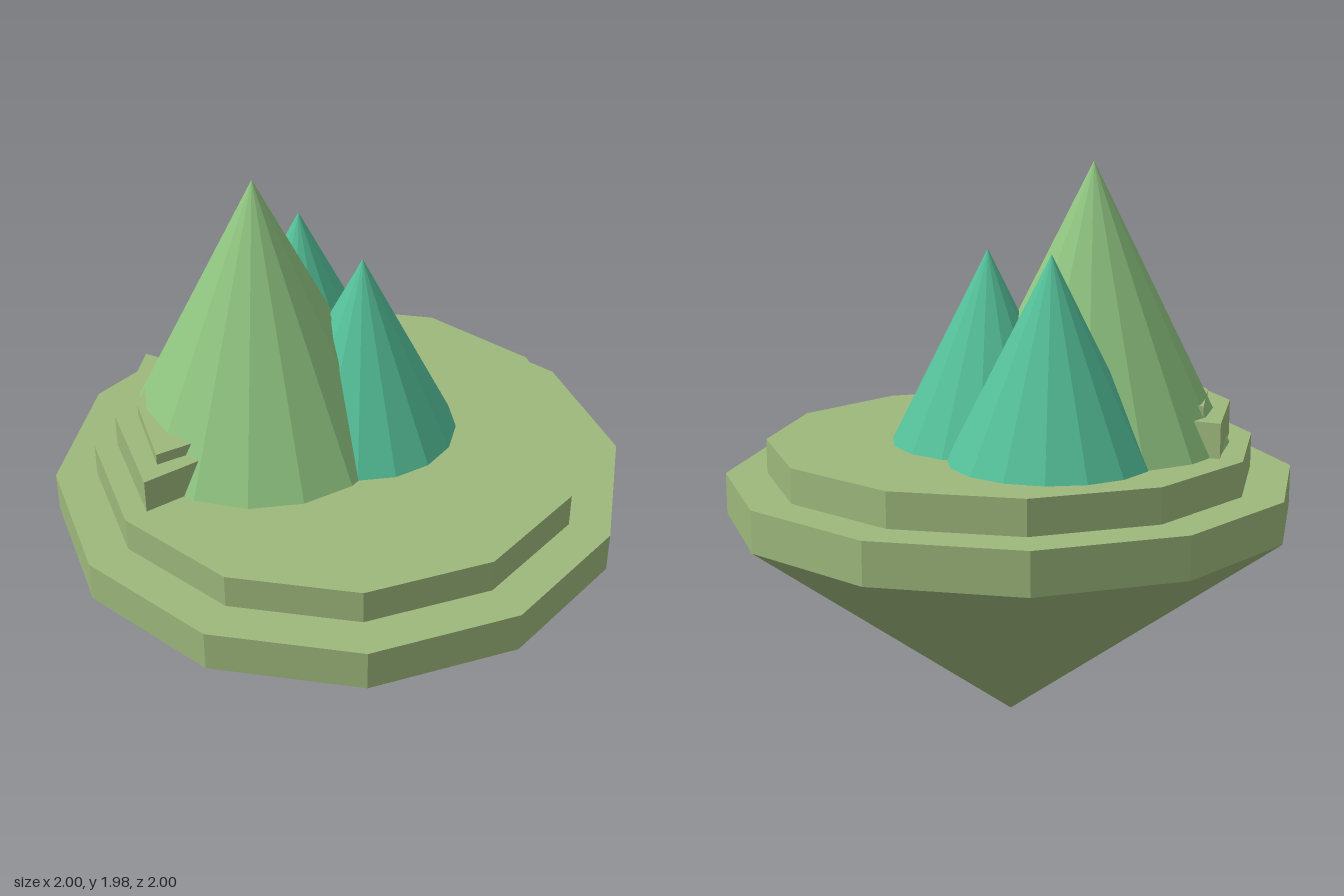
import * as THREE from 'three';

const material = (color) => new THREE.MeshStandardMaterial({ color, flatShading: true });

export function createModel() {
  const model = new THREE.Group();
  const land = material(0x9db87c);
  const leafGreen = material(0x8fc480);
  const teal = material(0x55c09a);

  const add = (name, geometry, mat) => {
    const mesh = new THREE.Mesh(geometry, mat);
    mesh.name = name;
    model.add(mesh);
    return mesh;
  };

  // Twelve-sided slab or cone between two heights
  const tier = (name, topRadius, bottomRadius, y0, y1) => {
    const geometry = new THREE.CylinderGeometry(topRadius, bottomRadius, y1 - y0, 12);
    add(name, geometry, land).position.y = (y0 + y1) / 2;
  };
  tier('islandUnderside', 1, 0, 0, 0.755);
  tier('lowerTier', 1, 1, 0.755, 0.9);
  tier('upperTier', 0.855, 0.855, 0.9, 1.02);

  // Sixteen-sided peaks standing on the upper tier
  const peak = (name, x, z, radius, top, mat) => {
    const height = top - 1.02;
    const geometry = new THREE.ConeGeometry(radius, height, 16);
    add(name, geometry, mat).position.set(x, 1.02 + height / 2, z);
  };
  peak('mainPeak', -0.275, 0.075, 0.48, 1.98, leafGreen);
  peak('backPeak', -0.28, -0.265, 0.345, 1.7, teal);
  peak('sidePeak', 0.045, -0.085, 0.335, 1.685, teal);

  // Ledges: ring sectors of two flat spans, angles measured from -x towards +z
  const ledge = (name, inner, outer, from, to, top) => {
    const at = (radius, degrees) => {
      const a = THREE.MathUtils.degToRad(degrees);
      return new THREE.Vector2(-radius * Math.cos(a), -radius * Math.sin(a));
    };
    const angles = [from, (from + to) / 2, to];
    const shape = new THREE.Shape([
      ...angles.map((a) => at(outer, a)),
      ...angles.reverse().map((a) => at(inner, a)),
    ]);
    const geometry = new THREE.ExtrudeGeometry(shape, { depth: top - 1.01, bevelEnabled: false });
    geometry.rotateX(-Math.PI / 2);
    add(name, geometry, land).position.y = 1.01;
  };
  ledge('lowerLedge', 0.54, 0.775, 0, 60, 1.14);
  ledge('upperLedge', 0.52, 0.695, 5, 55, 1.18);

  return model;
}
